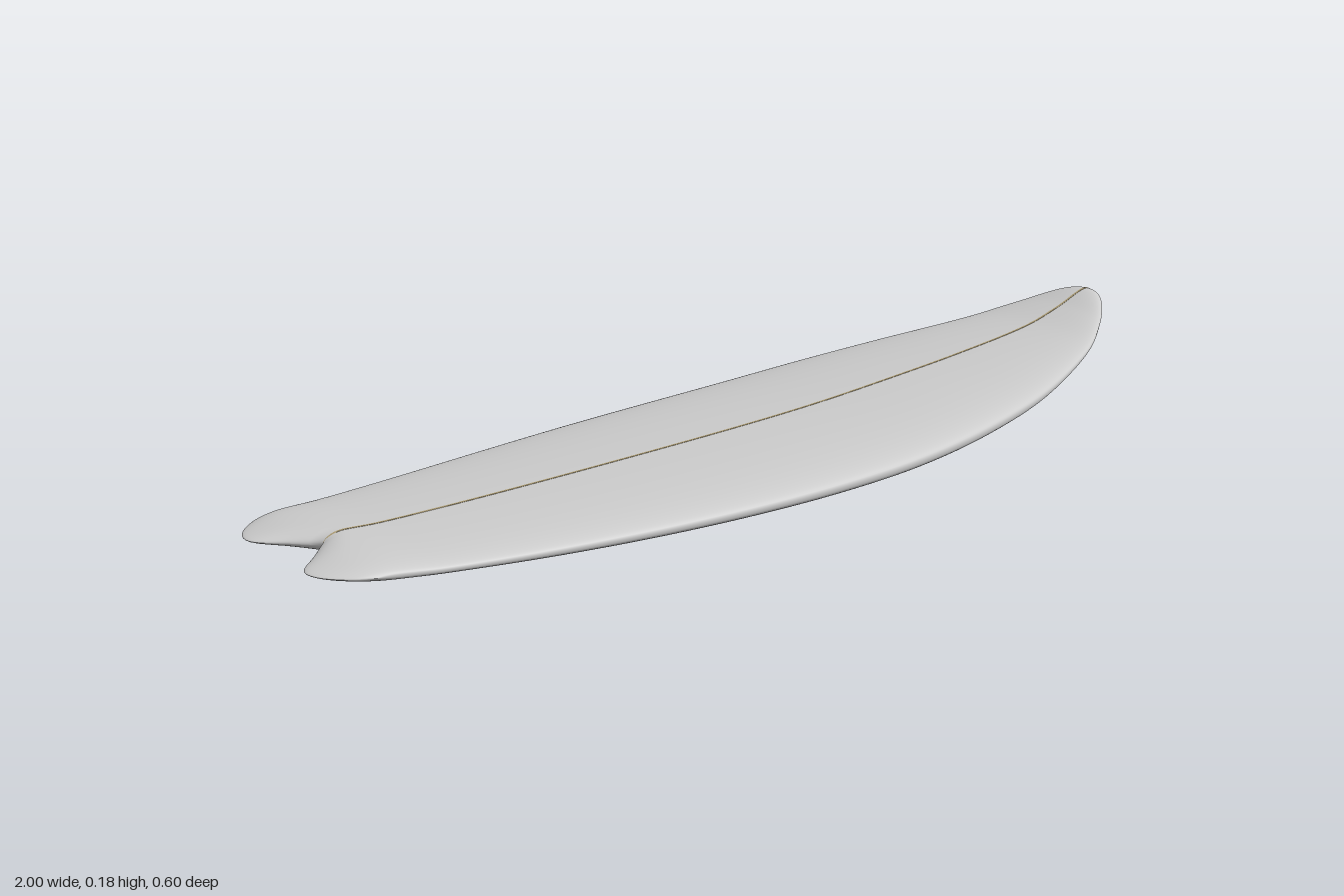
import * as THREE from 'three';
import { mergeVertices } from 'three/addons/utils/BufferGeometryUtils.js';

// smooth height lookup y(x) through a few points
function profile(pts) {
  const slope = (i) => {
    const a = pts[Math.max(i - 1, 0)], b = pts[Math.min(i + 1, pts.length - 1)];
    return (b[1] - a[1]) / (b[0] - a[0]);
  };
  return (x) => {
    let i = 0;
    while (i < pts.length - 2 && x > pts[i + 1][0]) i++;
    const [x0, y0] = pts[i], [x1, y1] = pts[i + 1], h = x1 - x0;
    const t = THREE.MathUtils.clamp((x - x0) / h, 0, 1), t2 = t * t, t3 = t2 * t;
    return (2 * t3 - 3 * t2 + 1) * y0 + (t3 - 2 * t2 + t) * h * slope(i)
      + (3 * t2 - 2 * t3) * y1 + (t3 - t2) * h * slope(i + 1);
  };
}

const TAIL = -0.92; // where the rails end, outside the swallow tail
const STATIONS = 120, AROUND = 96;

// half outline seen from above (x, half width)
const outline = new THREE.SplineCurve([
  [TAIL, 0.183], [-0.8, 0.207], [-0.6, 0.241], [-0.4, 0.27], [-0.2, 0.291], [0, 0.301], [0.2, 0.299],
  [0.4, 0.28], [0.6, 0.24], [0.8, 0.17], [0.9, 0.115], [0.96, 0.068], [0.99, 0.03], [1, 0],
].map(([x, w]) => new THREE.Vector2(x, w)));

// rocker: deck and bottom heights on the centre line
const deck = profile([[-1, 0.075], [-0.9, 0.083], [-0.8, 0.077], [-0.6, 0.073], [-0.3, 0.072], [0, 0.074],
  [0.2, 0.079], [0.4, 0.09], [0.6, 0.104], [0.8, 0.125], [0.9, 0.15], [0.97, 0.174], [1, 0.174]]);
const bottom = profile([[-1, 0.058], [-0.9, 0.045], [-0.8, 0.035], [-0.6, 0.02], [-0.4, 0.01], [-0.2, 0.004],
  [0, 0.001], [0.2, 0.004], [0.4, 0.018], [0.6, 0.043], [0.8, 0.084], [0.9, 0.117], [1, 0.154]]);

// swallow tail edge: x across the half width (0 centre, 1 rail)
const tailEdge = profile([[0, -0.912], [0.25, -0.957], [0.43, -0.993], [0.57, -1], [0.75, -0.985],
  [0.92, -0.95], [1, TAIL]]);

const roundOff = (d, r) => Math.sqrt(Math.max(0, 1 - (1 - Math.min(d / r, 1)) ** 2));

// point on the skin: i runs tail to nose, j around the section
function skinPoint(i, j) {
  const base = outline.getPoint((1 - Math.cos(Math.PI * i / STATIONS)) / 2);
  const a = 2 * Math.PI * j / AROUND, c = Math.cos(a), s = Math.sin(a);
  const power = 2 / (s > 0 ? 2.3 : 2.7);
  const t = j % (AROUND / 2) === AROUND / 4 ? 0 : Math.abs(c) ** power;
  const fade = Math.max(0, (-0.7 - base.x) / (-0.7 - TAIL)) ** 2;
  const x = base.x + (tailEdge(t) - TAIL) * fade;
  const top = deck(x), low = bottom(x), rail = low + (top - low) * 0.47;
  const lift = Math.abs(s) ** power * roundOff(base.x - TAIL, 0.05) * roundOff(1 - base.x, 0.015);
  const y = rail + (s > 0 ? top - rail : low - rail) * lift;
  return new THREE.Vector3(x, y, Math.sign(c) * t * base.y);
}

function boardGeometry() {
  const pos = [], idx = [];
  for (let i = 0; i <= STATIONS; i++)
    for (let j = 0; j < AROUND; j++) pos.push(...skinPoint(i, j).toArray());
  for (let i = 0; i < STATIONS; i++) {
    for (let j = 0; j < AROUND; j++) {
      const k = (j + 1) % AROUND;
      const a = i * AROUND + j, b = a + AROUND, c = (i + 1) * AROUND + k, d = i * AROUND + k;
      idx.push(a, b, c, a, c, d);
    }
  }
  const g = new THREE.BufferGeometry();
  g.setAttribute('position', new THREE.Float32BufferAttribute(pos, 3));
  g.setIndex(idx);
  const merged = mergeVertices(g, 1e-5);
  merged.computeVertexNormals();
  return merged;
}

// thin centre strip, a hair proud of deck and bottom
function stringerGeometry() {
  const upper = [], lower = [];
  for (let i = 1; i < STATIONS; i++) {
    const p = skinPoint(i, AROUND / 4), q = skinPoint(i, AROUND * 3 / 4);
    upper.push(new THREE.Vector2(p.x, p.y + 0.0006));
    lower.push(new THREE.Vector2(q.x, q.y - 0.0006));
  }
  const width = 0.005;
  const g = new THREE.ExtrudeGeometry(new THREE.Shape([...lower, ...upper.reverse()]),
    { depth: width, bevelEnabled: false });
  return g.translate(0, 0, -width / 2);
}

export function createModel() {
  const group = new THREE.Group();
  group.name = 'surfboard';
  const add = (name, geometry, color) => {
    const mesh = new THREE.Mesh(geometry, new THREE.MeshStandardMaterial({ color }));
    mesh.name = name;
    group.add(mesh);
  };
  add('board', boardGeometry(), 0xcccccc);
  add('stringer', stringerGeometry(), 0xb0a078);
  return group;
}
